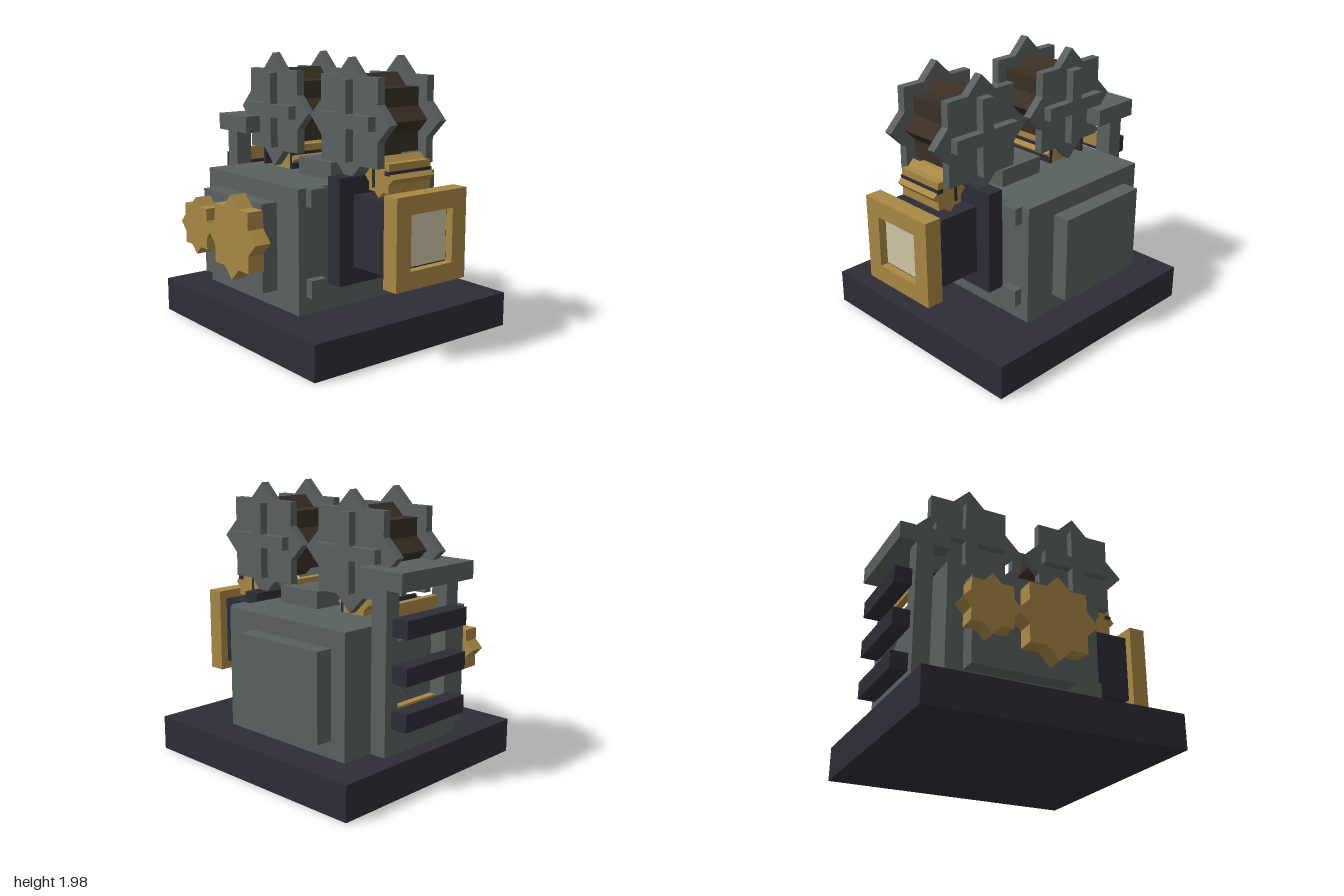
import * as THREE from 'three';

const mat = (name, color) => {
  const m = new THREE.MeshStandardMaterial({ color });
  m.name = name;
  return m;
};

export function createModel() {
  const root = new THREE.Group();
  root.name = 'projectorMachine';
  const grey = mat('grey metal', 0x596160);
  const navy = mat('dark iron', 0x2d2d37);
  const gold = mat('brass', 0xa88845);
  const brown = mat('film brown', 0x3a2f25);
  const cream = mat('lens cream', 0xcfc7a7);

  const add = (name, geometry, material, parent = root) => {
    const mesh = new THREE.Mesh(geometry, material);
    mesh.name = name;
    parent.add(mesh);
    return mesh;
  };

  // Box given by its ranges on each axis
  const box = (name, material, [x0, x1], [y0, y1], [z0, z1], parent) => {
    const g = new THREE.BoxGeometry(x1 - x0, y1 - y0, z1 - z0);
    g.translate((x0 + x1) / 2, (y0 + y1) / 2, (z0 + z1) / 2);
    return add(name, g, material, parent);
  };

  // Eight-pointed prism (two crossed squares) running along x
  const star = (name, material, r, [x0, x1], y, z, parent) => {
    const shape = new THREE.Shape();
    for (let i = 0; i < 16; i++) {
      const a = (i * Math.PI) / 8;
      const d = i % 2 ? r * 0.7654 : r;
      shape[i ? 'lineTo' : 'moveTo'](d * Math.cos(a), d * Math.sin(a));
    }
    shape.closePath();
    const g = new THREE.ExtrudeGeometry(shape, { depth: x1 - x0, bevelEnabled: false });
    g.rotateY(Math.PI / 2);
    g.translate(x0, y, z);
    return add(name, g, material, parent);
  };

  // Base and housing
  box('base', navy, [-0.875, 0.875], [0, 0.25], [-1, 0.875]);
  box('housing', grey, [-0.625, 0.625], [0.25, 1.125], [-0.75, 0.375]);
  box('topBlock', grey, [-0.25, 0.25], [1.125, 1.25], [-0.125, 0.25]);

  // Side panels and corner bolts
  for (const s of [-1, 1]) {
    const span = (a, b) => (s > 0 ? [a, b] : [-b, -a]);
    box('sidePanel', grey, span(0.625, 0.75), [0.375, 1], [-0.625, 0.125]);
    for (const y of [0.375, 1]) {
      box('cornerBolt', grey, span(0.4375, 0.5625), [y, y + 0.125], [0.375, 0.4375]);
    }
    box('backPillar', grey, span(0.25, 0.375), [0.25, 1.375], [-0.875, -0.75]);
  }

  // Lens: mount, tube, brass frame and glass
  box('lensMount', navy, [-0.375, 0.375], [0.4375, 1.1875], [0.375, 0.5]);
  box('lensTube', navy, [-0.25, 0.25], [0.5625, 1.0625], [0.5, 0.94]);
  const frame = new THREE.Shape();
  frame.moveTo(-0.3125, 0.5).lineTo(0.3125, 0.5).lineTo(0.3125, 1.125).lineTo(-0.3125, 1.125).closePath();
  const hole = new THREE.Path();
  hole.moveTo(-0.1875, 0.625).lineTo(-0.1875, 1).lineTo(0.1875, 1).lineTo(0.1875, 0.625).closePath();
  frame.holes.push(hole);
  const frameGeo = new THREE.ExtrudeGeometry(frame, { depth: 0.125, bevelEnabled: false });
  frameGeo.translate(0, 0, 0.875);
  add('lensFrame', frameGeo, gold);
  box('lensGlass', cream, [-0.178, 0.178], [0.636, 0.99], [0.94, 0.948]);

  // Back: cap, sill, louvers and the works behind them
  box('backCap', grey, [-0.375, 0.375], [1.375, 1.5], [-1, -0.625]);
  box('backSill', grey, [-0.25, 0.25], [0.25, 0.44], [-0.875, -0.75]);
  for (const y of [0.4375, 0.75, 1.0625]) {
    box('louver', navy, [-0.3125, 0.3125], [y, y + 0.125], [-1, -0.875]);
  }
  for (const y of [0.44, 1.15]) {
    box('backRail', gold, [-0.25, 0.25], [y, y + 0.1], [-0.8, -0.75]);
  }
  const rotor = star('backRotor', grey, 0.24, [-0.015, 0.015], 0, 0);
  rotor.rotation.y = Math.PI / 2;
  rotor.position.set(0, 0.82, -0.765);

  // Two film reels
  for (const z of [0.4375, -0.4375]) {
    const reel = new THREE.Group();
    reel.name = z > 0 ? 'frontReel' : 'backReel';
    reel.position.set(0, 1.5625, z);
    root.add(reel);
    star('filmRoll', brown, 0.3075, [-0.1875, 0.1875], 0, 0, reel);
    for (const s of [-1, 1]) {
      const span = (a, b) => (s > 0 ? [a, b] : [-b, -a]);
      star('reelDisc', grey, 0.42, span(0.1875, 0.25), 0, 0, reel);
      const cross = span(0.25, 0.3125);
      box('reelCrossUpright', grey, cross, [-0.275, 0.275], [-0.048, 0.048], reel);
      for (const [a, b] of [[-0.275, -0.048], [0.048, 0.275]]) {
        box('reelCrossArm', grey, cross, [-0.048, 0.048], [a, b], reel);
      }
    }
  }

  // Brass rollers and the film strip guides under the reels
  star('frontRoller', gold, 0.14, [-0.1875, 0.1875], 1.2, 0.68);
  star('backRoller', gold, 0.14, [-0.1875, 0.1875], 1.2, -0.41);
  box('middleGuide', gold, [-0.1875, 0.1875], [1.25, 1.29], [0.165, 0.225]);
  box('rollerBand', navy, [-0.19, 0.19], [1.22, 1.25], [0.74, 0.79]);
  for (const z of [0.628, -0.31, -0.65]) {
    box('filmStrip', navy, [-0.19, 0.19], [1.125, 1.25], [z - 0.012, z + 0.012]);
  }

  // Drive gears on the right side
  star('largeGear', gold, 0.3, [-0.875, -0.75], 0.75, -0.068);
  star('smallGear', gold, 0.21, [-0.875, -0.75], 0.75, -0.54);

  return root;
}
